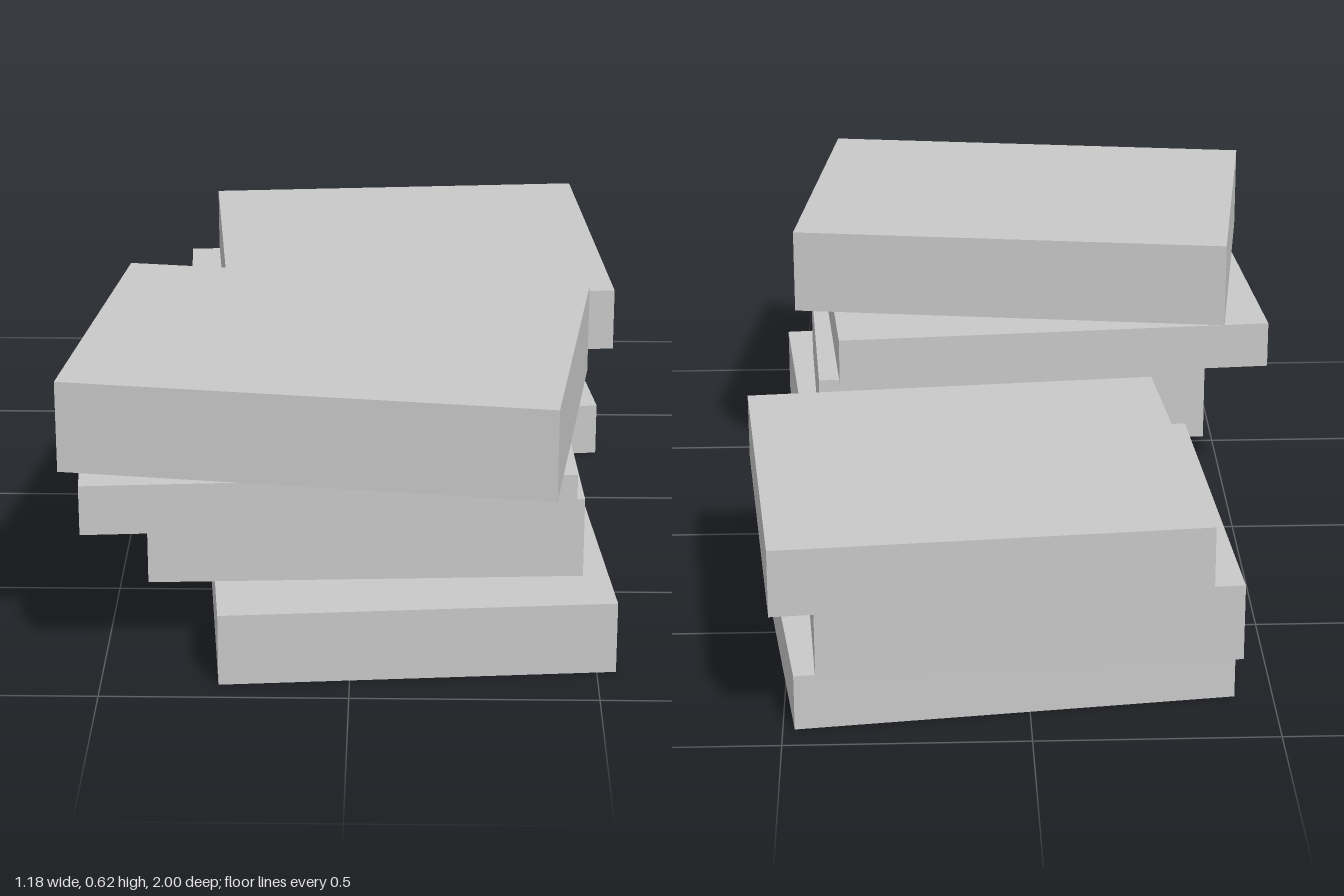
import * as THREE from 'three';

// Two loose piles of flat slabs, each slab turned a little
export function createModel() {
  const model = new THREE.Group();
  model.name = 'slabPiles';
  const grey = new THREE.MeshStandardMaterial({ color: 0xc8c8c8 });
  grey.name = 'light grey';

  // Each slab: [x, z, bottom, top, width, depth, turn]
  const piles = {
    frontPile: [
      [0.108, 0.57, 0, 0.153, 0.805, 0.683, 0.088],
      [0.015, 0.458, 0.153, 0.325, 0.888, 0.621, 0.052],
      [-0.069, 0.522, 0.325, 0.43, 0.987, 0.764, 0.075],
      [-0.041, 0.584, 0.43, 0.622, 0.995, 0.706, -0.132],
    ],
    backPile: [
      [0.068, -0.545, 0, 0.12, 0.904, 0.675, 0.121],
      [0.026, -0.503, 0.12, 0.285, 0.864, 0.832, 0.061],
      [0.111, -0.566, 0.285, 0.428, 0.887, 0.794, 0.087],
    ],
  };

  for (const [name, slabs] of Object.entries(piles)) {
    const pile = new THREE.Group();
    pile.name = name;
    slabs.forEach(([x, z, bottom, top, width, depth, turn], i) => {
      const slab = new THREE.Mesh(new THREE.BoxGeometry(width, top - bottom, depth), grey);
      slab.name = `slab${i + 1}`;
      slab.position.set(x, (bottom + top) / 2, z);
      slab.rotation.y = turn;
      pile.add(slab);
    });
    model.add(pile);
  }
  return model;
}
